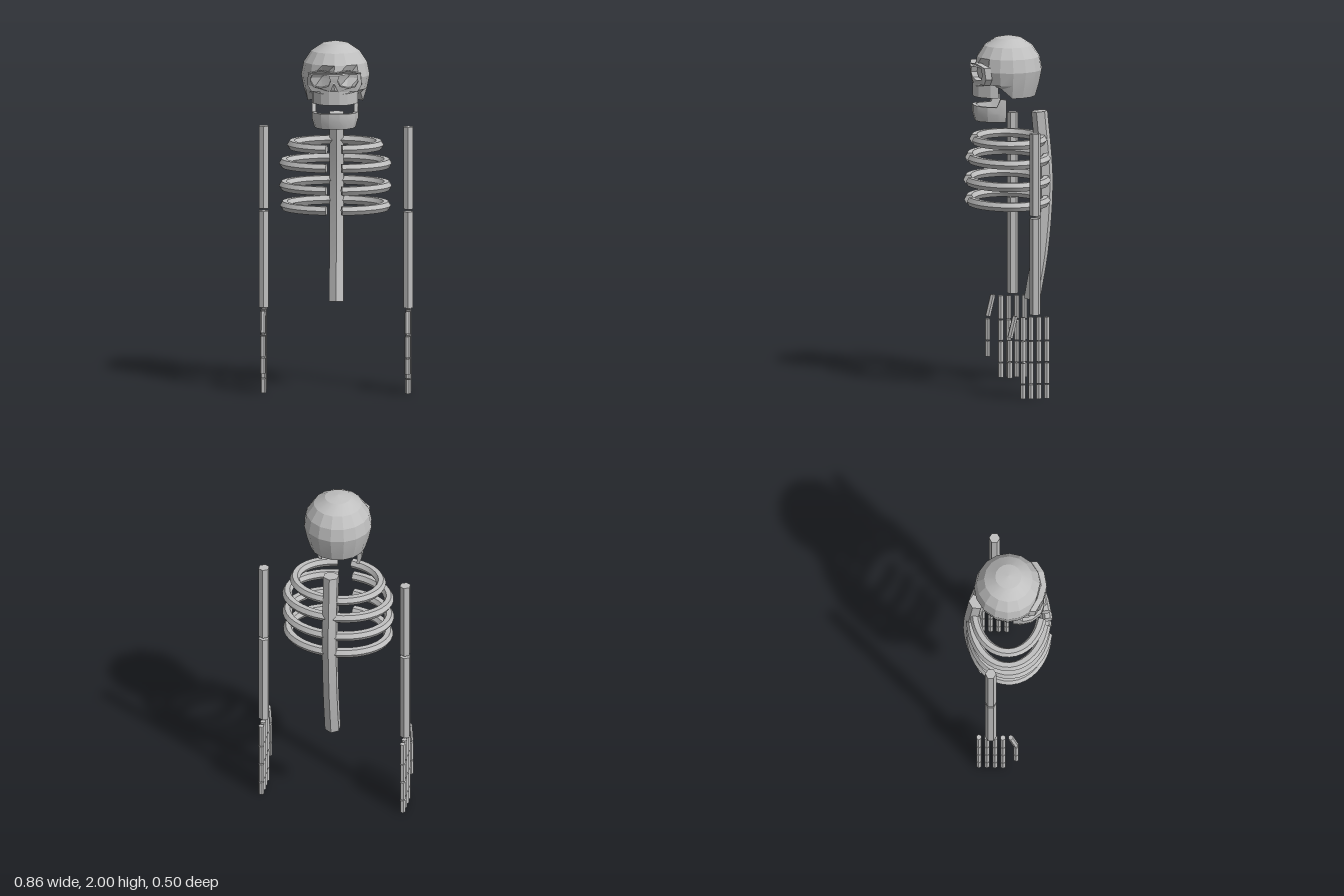
import * as THREE from 'three';
import { toCreasedNormals } from 'three/addons/utils/BufferGeometryUtils.js';

const V = (x, y, z) => new THREE.Vector3(x, y, z);

// Closed skin through a list of rings, each counter-clockwise about the direction of travel
function loft(rings, endPoint) {
  const pos = [];
  const tri = (...p) => p.forEach((v) => pos.push(v.x, v.y, v.z));
  const n = rings[0].length;
  const mid = (r) => r.reduce((s, p) => s.add(p), V(0, 0, 0)).divideScalar(n);
  const first = rings[0], last = rings[rings.length - 1];
  const c0 = mid(first), c1 = endPoint || mid(last);
  for (let j = 0; j < n; j++) {
    const k = (j + 1) % n;
    for (let i = 0; i < rings.length - 1; i++) {
      const a = rings[i], b = rings[i + 1];
      tri(a[j], a[k], b[k]);
      tri(a[j], b[k], b[j]);
    }
    tri(c0, first[k], first[j]);
    tri(c1, last[j], last[k]);
  }
  const g = new THREE.BufferGeometry();
  g.setAttribute('position', new THREE.Float32BufferAttribute(pos, 3));
  return g;
}

// Six-sided rod along a flat curve; side is the normal of the curve's plane
function rod(curve, radius, segments, side) {
  const rings = [];
  for (let i = 0; i <= segments; i++) {
    const u = i / segments, p = curve.getPointAt(u);
    const N = V(0, 0, 0).crossVectors(side, curve.getTangentAt(u)).normalize();
    rings.push(Array.from({ length: 6 }, (_, j) => {
      const a = j * Math.PI / 3;
      return p.clone().addScaledVector(N, radius * Math.cos(a)).addScaledVector(side, radius * Math.sin(a));
    }));
  }
  return loft(rings);
}

export function createModel() {
  const model = new THREE.Group();
  const bone = new THREE.MeshStandardMaterial({ color: 0xc0c0c0 });
  bone.name = 'bone grey';
  const add = (name, geometry, parent = model) => {
    const mesh = new THREE.Mesh(toCreasedNormals(geometry, 0.3), bone);
    mesh.name = name;
    parent.add(mesh);
    return mesh;
  };

  // Cranium: faceted ball with a flat base, a raised front edge and dented eye sockets
  const skull = new THREE.Group();
  skull.name = 'skull';
  model.add(skull);
  const SIDES = 16, R = 0.192, CY = 1.808;
  const ringAt = (r, y) => Array.from({ length: SIDES }, (_, j) => {
    const a = j * 2 * Math.PI / SIDES;
    return V(r * Math.sin(a), y, r * Math.cos(a));
  });
  const base = ringAt(0.155, 1.66);
  base.forEach((p) => { p.y += 0.075 * THREE.MathUtils.clamp((p.z - 0.01) / 0.07, 0, 1); });
  const rows = [base];
  for (let i = 5; i >= 1; i--) {
    const a = i * Math.PI / 8;
    rows.push(ringAt(R * Math.sin(a), CY + R * Math.cos(a)));
  }
  for (const j of [1, SIDES - 1]) rows[2][j].z = 0.12;
  add('cranium', loft(rows, V(0, 2, 0)), skull);

  // Face plate with eye and nose openings, bent round the head
  const shape = (pts, T) => new T(pts.map(([x, y]) => new THREE.Vector2(x, y)));
  const face = shape([[-0.13, 1.735], [-0.07, 1.725], [0, 1.72], [0.07, 1.725], [0.13, 1.735],
    [0.152, 1.77], [0.148, 1.835], [0.08, 1.855], [0, 1.845], [-0.08, 1.855], [-0.148, 1.835], [-0.152, 1.77]], THREE.Shape);
  for (const s of [1, -1]) {
    face.holes.push(shape([[0.02, 1.8], [0.032, 1.77], [0.075, 1.758], [0.115, 1.762], [0.132, 1.79],
      [0.128, 1.83], [0.075, 1.836], [0.03, 1.83]].map(([x, y]) => [s * x, y]), THREE.Path));
  }
  face.holes.push(shape([[0, 1.785], [0.022, 1.738], [-0.022, 1.738]], THREE.Path));
  const plate = new THREE.ExtrudeGeometry(face, { depth: 0.035, bevelEnabled: false });
  const pp = plate.attributes.position;
  for (let i = 0; i < pp.count; i++) {
    const x = pp.getX(i), y = pp.getY(i);
    pp.setZ(i, pp.getZ(i) + 0.18 - 2.6 * x * x - 0.2 * Math.max(0, 1.8 - y));
  }
  add('face', plate, skull);

  // Upper jaw: solid block with a rounded front
  const palate = shape([[-0.128, -0.075], [-0.12, -0.12], [-0.075, -0.18], [-0.03, -0.198], [0.03, -0.198],
    [0.075, -0.18], [0.12, -0.12], [0.128, -0.075]], THREE.Shape);
  const upper = new THREE.ExtrudeGeometry(palate, { depth: 0.08, bevelEnabled: false });
  upper.rotateX(-Math.PI / 2).translate(0, 1.66, 0);
  add('upperJaw', upper, skull);

  // Lower jaw: a wall bent in a U, rising at both rear ends; stations are x, z, top
  const half = [[0.13, 0.03, 1.65], [0.13, 0.062, 1.655], [0.128, 0.085, 1.608], [0.115, 0.135, 1.608],
    [0.075, 0.185, 1.61], [0.03, 0.2, 1.612]];
  const stations = [...half, ...half.slice().reverse().map(([x, z, t]) => [-x, z, t])];
  add('lowerJaw', loft(stations.map(([x, z, top], i) => {
    const a = stations[Math.max(i - 1, 0)], b = stations[Math.min(i + 1, stations.length - 1)];
    const N = V(0, 0, 0).crossVectors(V(0, 1, 0), V(b[0] - a[0], 0, b[1] - a[1])).normalize();
    const at = (inset, y) => V(x, y, z).addScaledVector(N, -inset);
    return [at(0.014, 1.522), at(0, 1.57), at(0, top), at(0.022, top), at(0.03, 1.522)];
  })), skull);

  // Spine
  const spine = new THREE.CatmullRomCurve3([V(0, 0.5, -0.135), V(0, 0.8, -0.184), V(0, 1.18, -0.207), V(0, 1.565, -0.177)]);
  add('spine', rod(spine, 0.046, 12, V(1, 0, 0)));

  // Ribs: oval hoops open at the front, as height, half width, half depth, centre z
  for (const [y, a, b, c] of [[1.41, 0.243, 0.188, 0], [1.306, 0.288, 0.21, 0.002],
    [1.18, 0.288, 0.215, 0.007], [1.067, 0.283, 0.212, 0.005]]) {
    const start = Math.asin(0.042 / a), points = [];
    for (let i = 0; i <= 24; i++) {
      const t = start + (2 * Math.PI - 2 * start) * i / 24;
      points.push(V(a * Math.sin(t), y, c + b * Math.cos(t)));
    }
    add('rib', rod(new THREE.CatmullRomCurve3(points), 0.028, 40, V(0, 1, 0)));
  }

  // Arms and hands
  for (const s of [1, -1]) {
    const arm = new THREE.Group();
    arm.name = s > 0 ? 'leftArm' : 'rightArm';
    arm.position.x = s * 0.405;
    model.add(arm);
    const post = (name, r, y0, y1, z, turn) => {
      const g = new THREE.CylinderGeometry(r, r, y1 - y0, 6).rotateY(turn);
      return add(name, g.translate(0, (y0 + y1) / 2, z), arm);
    };
    post('upperArm', 0.031, 1.035, 1.5, -0.088, 0);
    post('forearm', 0.031, 0.475, 1.02, -0.088, 0);
    const bones = [[0, 0.08], [0.086, 0.202], [0.21, 0.325], [0.331, 0.462]];
    for (let f = 0; f < 4; f++) {
      for (const [y0, y1] of bones) post('fingerBone', 0.016, y0, y1, -0.02 - 0.045 * f, Math.PI / 6);
    }
    post('thumbBone', 0.016, 0.12, 0.208, 0.054, Math.PI / 6);
    post('thumbBone', 0.016, 0.214, 0.333, 0.054, Math.PI / 6);
    const thumbBase = new THREE.CylinderGeometry(0.016, 0.016, 0.125, 6).rotateY(Math.PI / 6);
    add('thumbBase', thumbBase.rotateX(-0.23).translate(0, 0.408, 0.038), arm);
  }
  return model;
}
